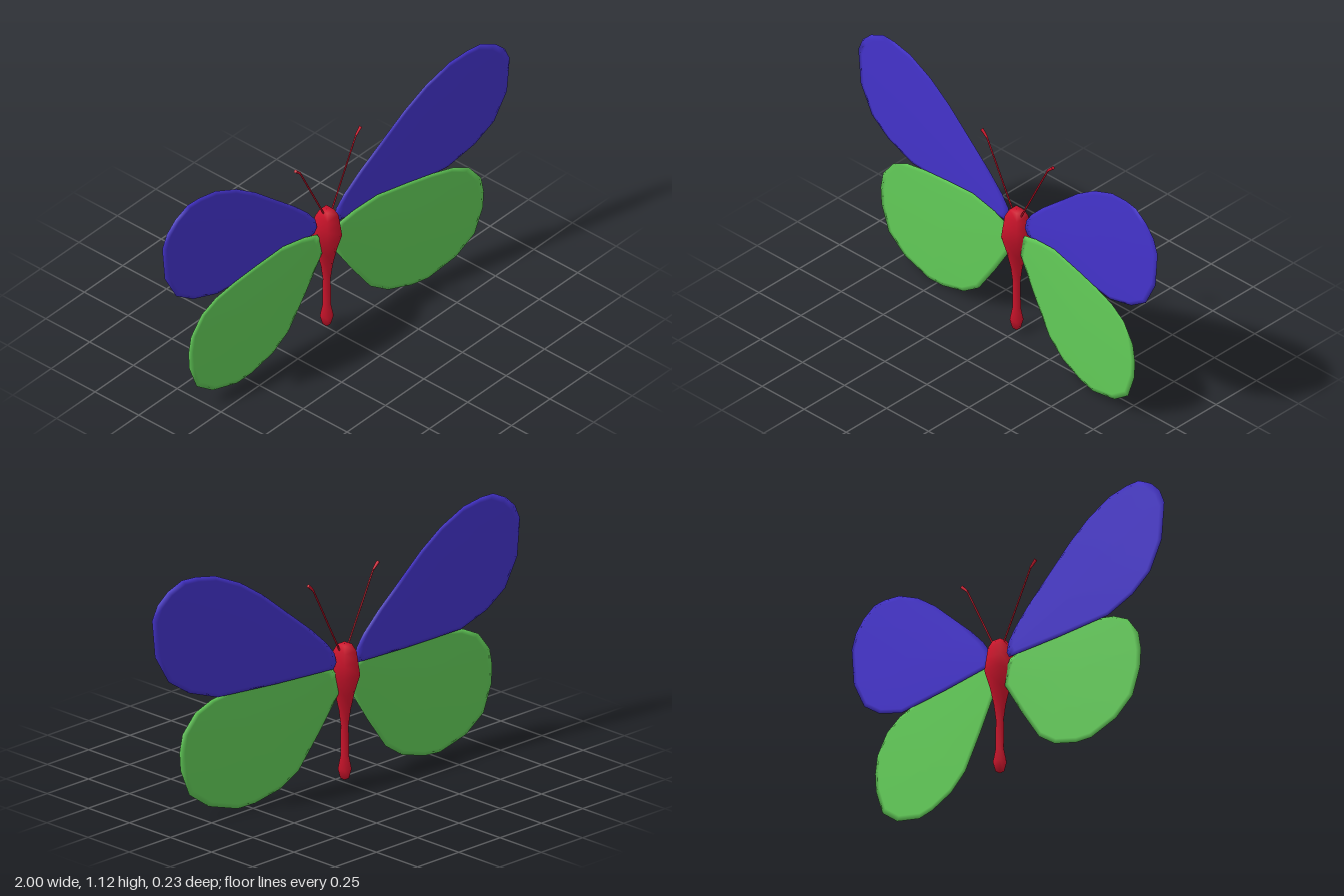
import * as THREE from 'three';

const red = new THREE.MeshStandardMaterial({ color: 0xd0142c });
const blue = new THREE.MeshStandardMaterial({ color: 0x4433cc });
const green = new THREE.MeshStandardMaterial({ color: 0x62cc58 });

// Outlines of the left wings (x, y), clockwise from the root
const foreOutline = [
  [0.05, 0.57], [0.06, 0.615], [0.1, 0.67], [0.18, 0.75], [0.32, 0.87], [0.43, 0.965],
  [0.545, 1.045], [0.675, 1.105], [0.775, 1.122], [0.845, 1.122], [0.92, 1.085], [0.972, 1.035],
  [1, 0.97], [0.985, 0.8], [0.915, 0.67], [0.81, 0.597], [0.66, 0.545], [0.36, 0.54], [0.065, 0.543],
];
const hindOutline = [
  [0.025, 0.43], [0.04, 0.505], [0.06, 0.54], [0.14, 0.567], [0.27, 0.59], [0.44, 0.575],
  [0.57, 0.56], [0.685, 0.537], [0.77, 0.495], [0.835, 0.41], [0.85, 0.33], [0.845, 0.245],
  [0.8, 0.125], [0.7, 0.05], [0.55, 0.007], [0.46, 0.013], [0.33, 0.05], [0.235, 0.115],
  [0.13, 0.265],
];

// Thin cushion: sharp outer rim, inset ring on each face, flat fan caps, smooth normals
function makeWing(name, outline, centre, side, z0, slope, material) {
  const pts = side > 0 ? [...outline].reverse() : outline;
  const n = pts.length;
  const half = 0.004;
  const positions = [];
  const put = (x, y, dz) => positions.push(side * x, y, z0 + slope * side * x + dz);
  const ring = (scale, dz) => pts.forEach(([x, y]) =>
    put(centre[0] + (x - centre[0]) * scale, centre[1] + (y - centre[1]) * scale, dz));
  ring(0.93, half);
  ring(1, 0);
  ring(0.93, -half);
  put(centre[0], centre[1], half);
  put(centre[0], centre[1], -half);

  const index = [];
  for (let i = 0; i < n; i++) {
    const j = (i + 1) % n;
    index.push(3 * n, i, j, 3 * n + 1, 2 * n + j, 2 * n + i);
    for (const r of [0, n]) {
      index.push(r + i, r + n + i, r + n + j, r + i, r + n + j, r + j);
    }
  }
  const geometry = new THREE.BufferGeometry();
  geometry.setAttribute('position', new THREE.Float32BufferAttribute(positions, 3));
  geometry.setIndex(index);
  geometry.computeVertexNormals();
  const wing = new THREE.Mesh(geometry, material);
  wing.name = name;
  return wing;
}

// Square-section body turned from half-widths along its height
function makeBody() {
  const profile = [
    [0, 0.025], [0.013, 0.026], [0.021, 0.07], [0.013, 0.13], [0.012, 0.27], [0.018, 0.34],
    [0.03, 0.42], [0.047, 0.5], [0.041, 0.56], [0.036, 0.61], [0.022, 0.643], [0, 0.645],
  ].map(([w, y]) => new THREE.Vector2(w * Math.SQRT2, y));
  const body = new THREE.Mesh(new THREE.LatheGeometry(profile, 4, Math.PI / 4), red);
  body.position.z = -0.055;
  body.name = 'body';
  return body;
}

// Tapered rod between two points
function makeRod(name, a, b, radiusA, radiusB) {
  const rod = new THREE.Mesh(
    new THREE.CylinderGeometry(radiusB, radiusA, a.distanceTo(b), 6), red);
  rod.position.copy(a).lerp(b, 0.5);
  rod.quaternion.setFromUnitVectors(
    new THREE.Vector3(0, 1, 0), b.clone().sub(a).normalize());
  rod.name = name;
  return rod;
}

// Thin stalk with a bent, thicker tip
function makeAntenna(name, side) {
  const point = (x, y) => new THREE.Vector3(0.007 + side * x, y, -0.053);
  const antenna = new THREE.Group();
  antenna.name = name;
  antenna.add(
    makeRod('stalk', point(0.022, 0.62), point(0.183, 0.94), 0.004, 0.004),
    makeRod('tip', point(0.181, 0.937), point(0.212, 0.966), 0.005, 0.008),
  );
  return antenna;
}

export function createModel() {
  const model = new THREE.Group();
  model.name = 'butterfly';
  model.add(makeBody());
  for (const side of [1, -1]) {
    const label = side > 0 ? 'left' : 'right';
    // The left wings swing forward, the right wings slightly back
    const slope = side > 0 ? 0.176 : 0.052;
    model.add(
      makeWing(label + 'Forewing', foreOutline, [0.62, 0.79], side, -0.064, slope, blue),
      makeWing(label + 'Hindwing', hindOutline, [0.47, 0.31], side, -0.054, slope, green),
      makeAntenna(label + 'Antenna', side),
    );
  }
  return model;
}
